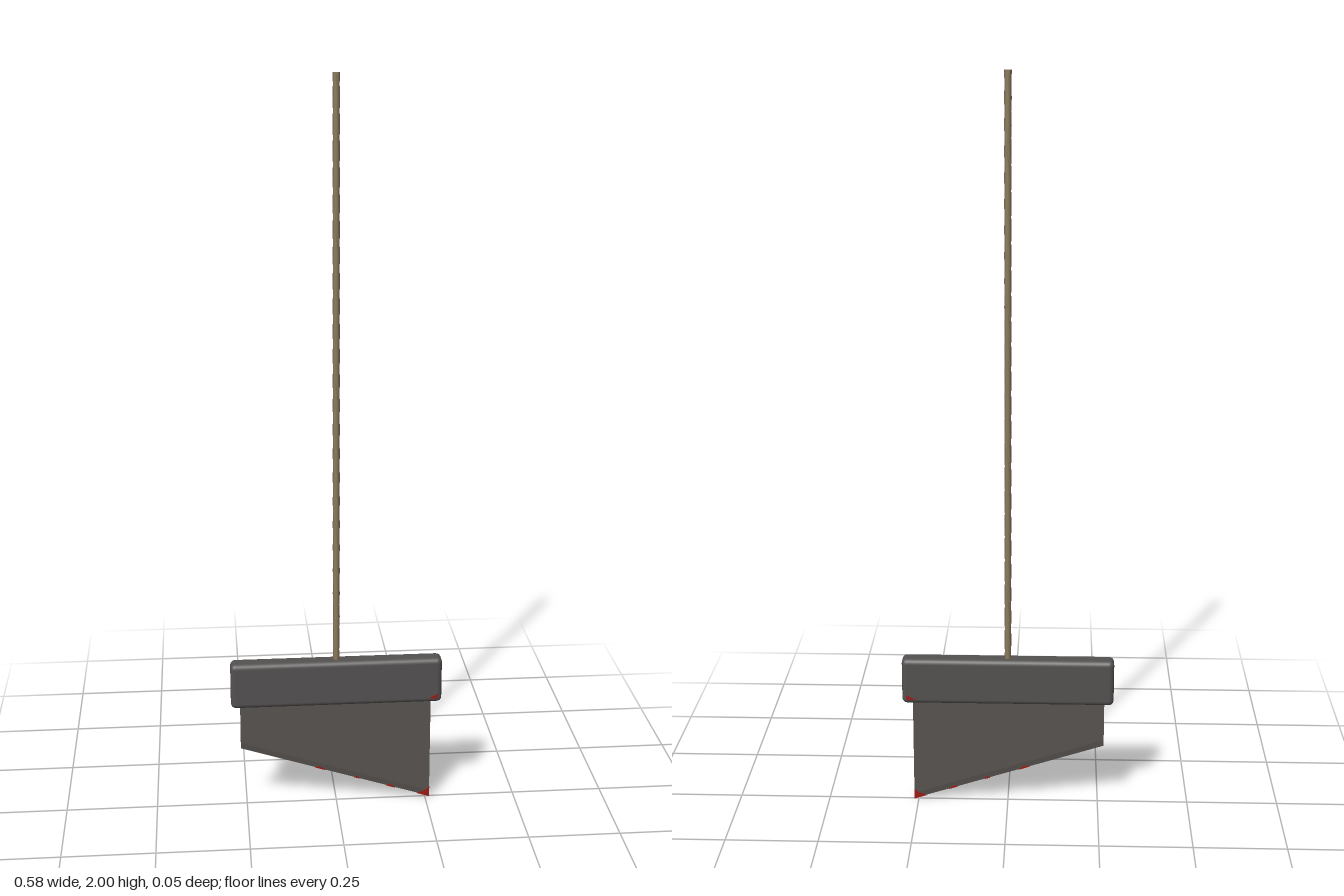
import * as THREE from 'three';
import { RoundedBoxGeometry } from 'three/addons/geometries/RoundedBoxGeometry.js';

const EDGE_LEFT = [-0.265, 0.17], EDGE_RIGHT = [0.262, 0];
const edgeY = (x) => EDGE_LEFT[1] + (EDGE_RIGHT[1] - EDGE_LEFT[1]) * (x - EDGE_LEFT[0]) / (EDGE_RIGHT[0] - EDGE_LEFT[0]);

// Flat plate cut from an outline in the xy plane, centred on z
function plate(points, depth) {
  const shape = new THREE.Shape(points.map(([x, y]) => new THREE.Vector2(x, y)));
  return new THREE.ExtrudeGeometry(shape, { depth, bevelEnabled: false }).translate(0, 0, -depth / 2);
}

// Six lobed strands twisted around the vertical axis
function ropeGeometry(bottom, top) {
  const height = top - bottom;
  const geometry = new THREE.CylinderGeometry(1, 1, height, 12, 140);
  const p = geometry.attributes.position;
  for (let i = 0; i < p.count; i++) {
    const x = p.getX(i), z = p.getZ(i);
    if (Math.hypot(x, z) < 0.5) continue;
    const angle = Math.atan2(z, x);
    const radius = Math.round(angle / (Math.PI / 6)) % 2 === 0 ? 0.0095 : 0.0065;
    const twisted = angle + (p.getY(i) / height + 0.5) * Math.PI * 8;
    p.setX(i, radius * Math.cos(twisted));
    p.setZ(i, radius * Math.sin(twisted));
  }
  geometry.computeVertexNormals();
  return geometry.translate(0, (top + bottom) / 2, 0);
}

// Slanted blade with a ground cutting edge
function bladeGeometry() {
  const geometry = new THREE.BoxGeometry(EDGE_RIGHT[0] - EDGE_LEFT[0], 1, 0.007, 1, 2, 1).toNonIndexed();
  const p = geometry.attributes.position;
  for (let i = 0; i < p.count; i++) {
    const x = p.getX(i) < 0 ? EDGE_LEFT[0] : EDGE_RIGHT[0];
    const row = p.getY(i);
    p.setX(i, x);
    p.setY(i, row > 0.25 ? 0.33 : edgeY(x) + (row > -0.25 ? 0.018 : 0));
    if (row < -0.25) p.setZ(i, p.getZ(i) * 0.15);
  }
  geometry.computeVertexNormals();
  return geometry;
}

export function createModel() {
  const material = (name, color) => {
    const m = new THREE.MeshStandardMaterial({ color });
    m.name = name;
    return m;
  };
  const iron = material('dark iron', 0x545251);
  const steel = material('worn steel', 0x585451);
  const hemp = material('hemp', 0x8c7b5e);
  const red = material('red stain', 0x9c1a14);

  const model = new THREE.Group();
  model.name = 'hangingBlade';
  const add = (name, geometry, mat) => {
    const mesh = new THREE.Mesh(geometry, mat);
    mesh.name = name;
    model.add(mesh);
    return mesh;
  };

  add('rope', ropeGeometry(0.42, 2), hemp);
  add('weightBlock', new RoundedBoxGeometry(0.58, 0.13, 0.052, 3, 0.014), iron).position.y = 0.365;
  add('blade', bladeGeometry(), steel);

  // Stain on the lowest tip and small specks along the edge
  add('tipStain', plate([[0.228, edgeY(0.228)], [0.2625, 0], [0.2625, 0.03], [0.25, 0.02]], 0.0085), red);
  for (const [x, w] of [[-0.06, 0.03], [0.05, 0.015], [0.14, 0.025]]) {
    add('edgeStain', plate([[x, edgeY(x)], [x + w, edgeY(x + w)], [x + w / 2, edgeY(x + w / 2) + 0.006]], 0.008), red);
  }

  // Stain on both faces of the block's lower corner
  for (const z of [-0.0255, 0.0255]) {
    add('blockStain', plate([[0.252, 0.313], [0.277, 0.313], [0.279, 0.327], [0.268, 0.321]], 0.003), red).position.z = z;
  }
  return model;
}
